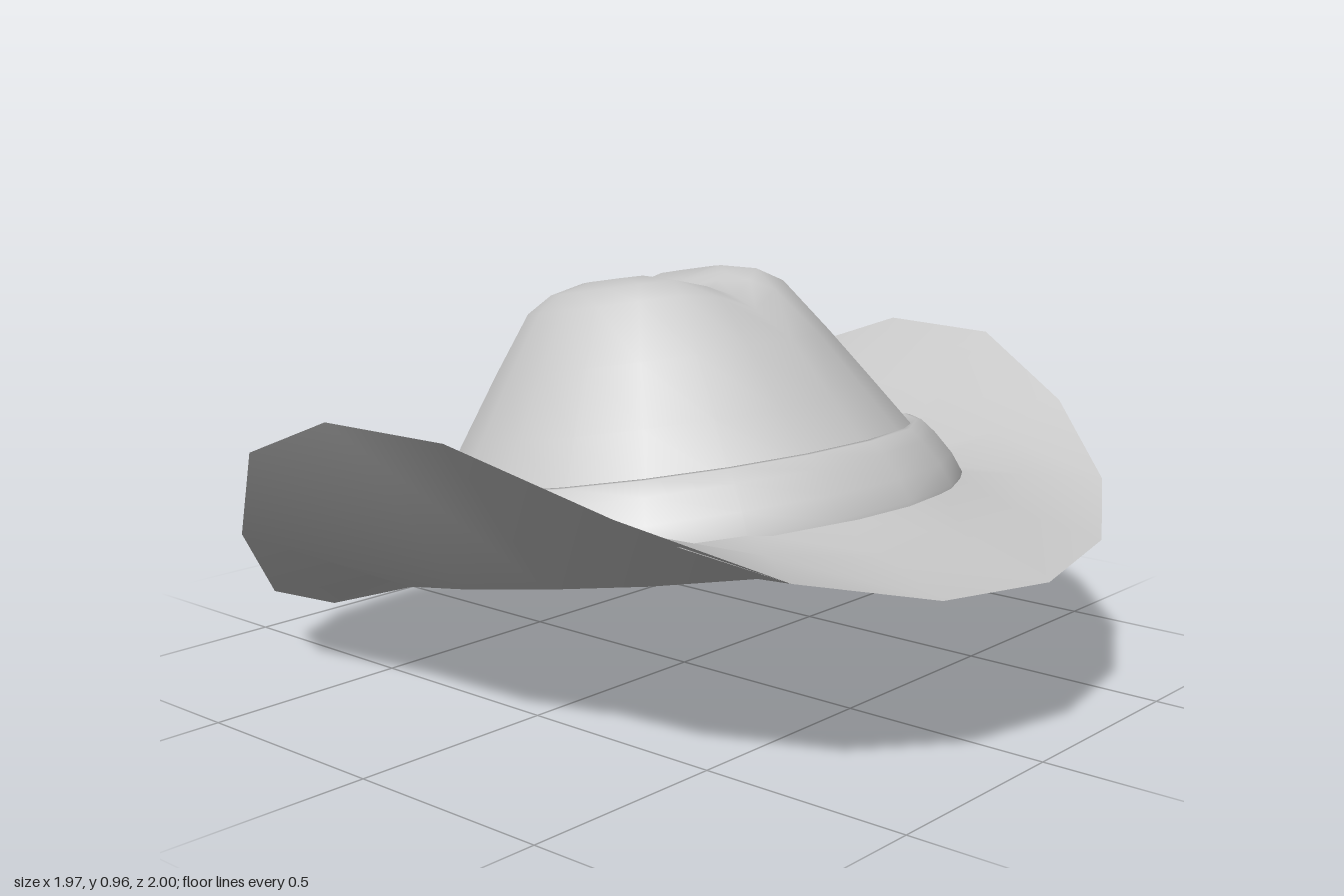
import * as THREE from 'three';

const SIDES = 20;

// Skin a list of rings; each ring is a function (angle, index) -> [x, y, z], angle 0 = front.
function loft(rings) {
  const pos = [], index = [];
  rings.forEach((ring) => {
    for (let j = 0; j < SIDES; j++) pos.push(...ring((j / SIDES) * Math.PI * 2, j));
  });
  for (let i = 0; i < rings.length - 1; i++) {
    for (let j = 0; j < SIDES; j++) {
      const k = (j + 1) % SIDES;
      const a = i * SIDES + j, b = i * SIDES + k;
      const c = b + SIDES, d = a + SIDES;
      // mirror the diagonals so both halves match
      if (j < SIDES / 2) index.push(a, b, c, a, c, d);
      else index.push(a, b, d, b, c, d);
    }
  }
  const g = new THREE.BufferGeometry();
  g.setAttribute('position', new THREE.Float32BufferAttribute(pos, 3));
  g.setIndex(index);
  g.computeVertexNormals();
  return g;
}

// Level ring, slightly shorter front to back
const circle = (r, y, centreZ = 0.065) => (a) =>
  [r * Math.sin(a), y, centreZ + r * 0.97 * Math.cos(a)];

// Outer rim: rolled up at the sides, dipping at front and back
const rimHeights = [0.212, 0.24, 0.332, 0.499, 0.676, 0.736, 0.68, 0.477, 0.292, 0.197, 0.174];
const rim = (a, j) => [
  THREE.MathUtils.clamp(Math.sin(a) * 1.004, -0.985, 0.985),
  rimHeights[Math.min(j, SIDES - j)],
  0.033 + 1.017 * Math.cos(a),
];

// Ring part of the way between two others
const between = (ringA, ringB, t) => (a, j) => {
  const p = ringA(a, j), q = ringB(a, j);
  return p.map((v, i) => THREE.MathUtils.lerp(v, q[i], t));
};

// Where the underside turns up: a little lower at front and back
const fold = (a) => [
  0.71 * Math.sin(a), 0.335 - 0.05 * Math.cos(a) ** 2, 0.06 + 0.7 * Math.cos(a),
];

// Crown ring with the lengthwise pinch pressed into it
const pinched = (r, y) => (a) => {
  const p = circle(r, y)(a);
  p[1] -= 0.055 * Math.max(0, 1 - Math.abs(p[0]) / 0.14);
  return p;
};

export function createModel() {
  const model = new THREE.Group();
  const hat = new THREE.Group();
  hat.name = 'hat';
  hat.rotation.x = -0.175; // tipped back
  model.add(hat);

  const felt = new THREE.MeshStandardMaterial({ color: 0xc8c8c8 });
  felt.name = 'greyFelt';

  const add = (name, geometry) => {
    const mesh = new THREE.Mesh(geometry, felt);
    mesh.name = name;
    hat.add(mesh);
  };

  // Brim: upper surface and closed underside meeting at a thin rim
  const seat = circle(0.64, 0.395);
  add('brimTop', loft([rim, between(rim, seat, 0.5), seat]));
  add('brimUnderside', loft([circle(0.001, 0.335), circle(0.4, 0.335), fold, rim]));

  // Band: sloping strip with a small lip against the crown
  add('band', loft([
    circle(0.68, 0.35), circle(0.68, 0.385), circle(0.66, 0.435), circle(0.625, 0.49),
    circle(0.598, 0.522), circle(0.585, 0.524), circle(0.565, 0.5),
  ]));

  // Crown: straight tapering wall and pinched top
  add('crown', loft([
    circle(0.585, 0.495), circle(0.5, 0.62), circle(0.405, 0.758),
    pinched(0.31, 0.888), pinched(0.25, 0.924), pinched(0.17, 0.943),
    pinched(0.08, 0.948), pinched(0.001, 0.948),
  ]));

  return model;
}
